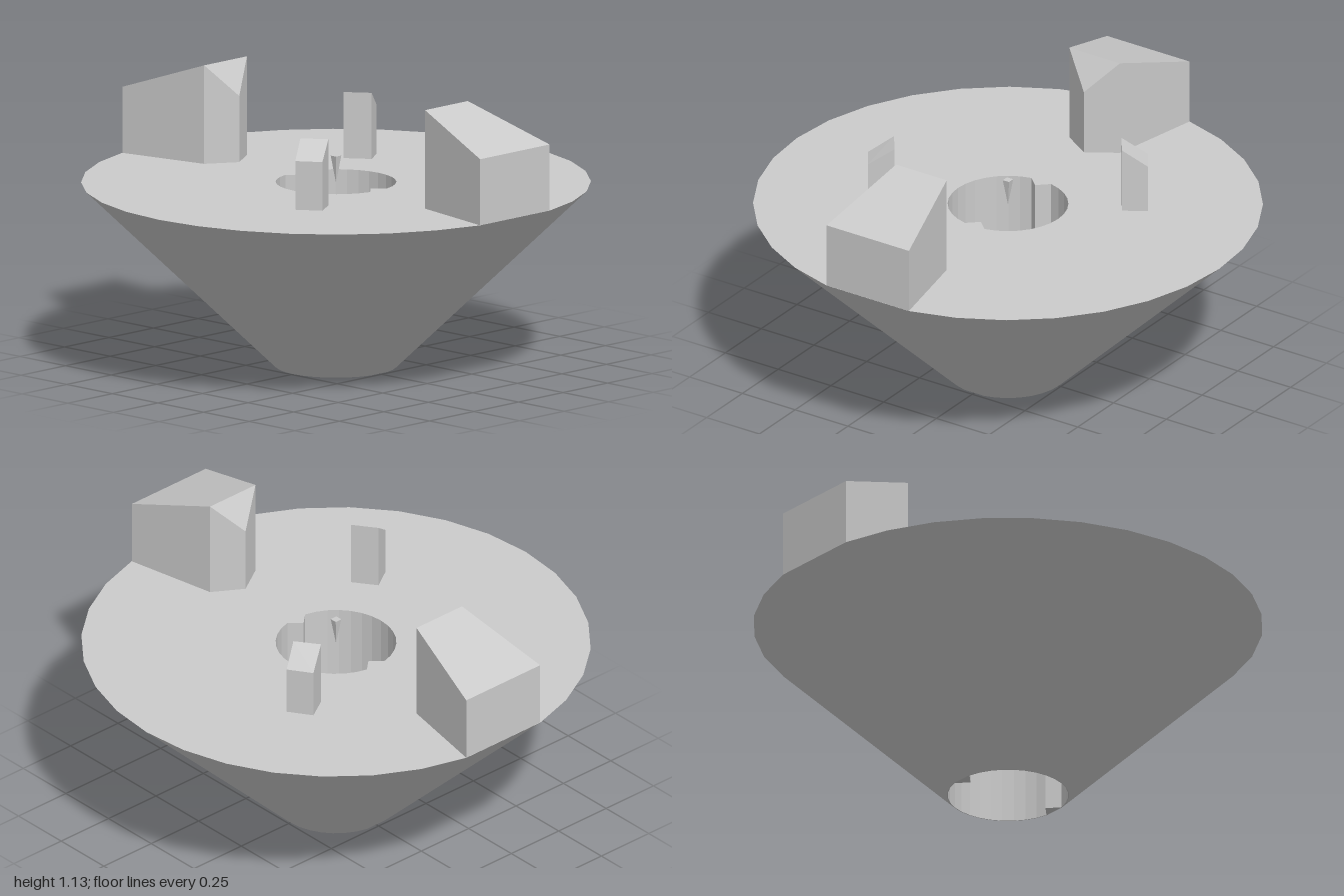
import * as THREE from 'three';

const SIDES = 32;
const DECK = 0.735;
const material = new THREE.MeshStandardMaterial({ color: 0xcccccc, flatShading: true });

// Flat-faced mesh from a list of quads and triangles (corners counter-clockwise)
function facetMesh(name, faces) {
  const points = [];
  for (const face of faces) {
    for (let i = 1; i < face.length - 1; i++) points.push(...face[0], ...face[i], ...face[i + 1]);
  }
  const geometry = new THREE.BufferGeometry();
  geometry.setAttribute('position', new THREE.Float32BufferAttribute(points, 3));
  geometry.computeVertexNormals();
  const mesh = new THREE.Mesh(geometry, material);
  mesh.name = name;
  return mesh;
}

// Ring of corners; the front and back corners get their own radius
function ring(radius, y, poleRadius) {
  return Array.from({ length: SIDES }, (_, i) => {
    const angle = (i / SIDES) * Math.PI * 2;
    const r = i % (SIDES / 2) === 0 ? poleRadius : radius;
    return [Math.sin(angle) * r, y, Math.cos(angle) * r];
  });
}

// Upright post: corners [x, z, topHeight], counter-clockwise from above
function post(name, corners) {
  const base = corners.map(([x, z]) => [x, DECK, z]);
  const top = corners.map(([x, z, h]) => [x, h, z]);
  const faces = corners.map((_, i) => {
    const j = (i + 1) % corners.length;
    return [base[i], base[j], top[j], top[i]];
  });
  return facetMesh(name, [...faces, top]);
}

export function createModel() {
  const group = new THREE.Group();

  // Conical body with a bore; rim flattened front and back, bore keyed there
  const flat = Math.cos((Math.PI * 2) / SIDES);
  const rings = [
    ring(0.24, 0, 0.24 * flat),
    ring(1, DECK, flat),
    ring(0.237, DECK, 0.19),
    ring(0.237, 0, 0.19),
  ];
  const faces = [];
  rings.forEach((lower, k) => {
    const upper = rings[(k + 1) % rings.length];
    for (let i = 0; i < SIDES; i++) {
      const j = (i + 1) % SIDES;
      faces.push([lower[i], lower[j], upper[j], upper[i]]);
    }
  });
  group.add(facetMesh('coneBody', faces));

  // Large wedge blocks and small slanted pegs, repeated by a half turn
  for (const [side, turn] of [['front', 0], ['back', Math.PI]]) {
    const block = post(side + 'Block', [
      [0.12, 0.605, 1.13], [0, 0.53, 1], [-0.12, 0.605, 1.13],
      [-0.195, 0.98, 1], [0.195, 0.98, 1],
    ]);
    const peg = post(side + 'Peg', [
      [-0.405, 0.2, 1], [-0.49, 0.255, 0.93], [-0.43, 0.345, 0.93], [-0.34, 0.29, 1],
    ]);
    block.rotation.y = peg.rotation.y = turn;
    group.add(block, peg);
  }

  // Small inverted pyramid above the bore
  const spike = new THREE.Mesh(new THREE.CylinderGeometry(0.021, 0, 0.11, 4), material);
  spike.name = 'centreSpike';
  spike.rotation.y = Math.PI / 4;
  spike.position.y = 0.785;
  group.add(spike);

  return group;
}
